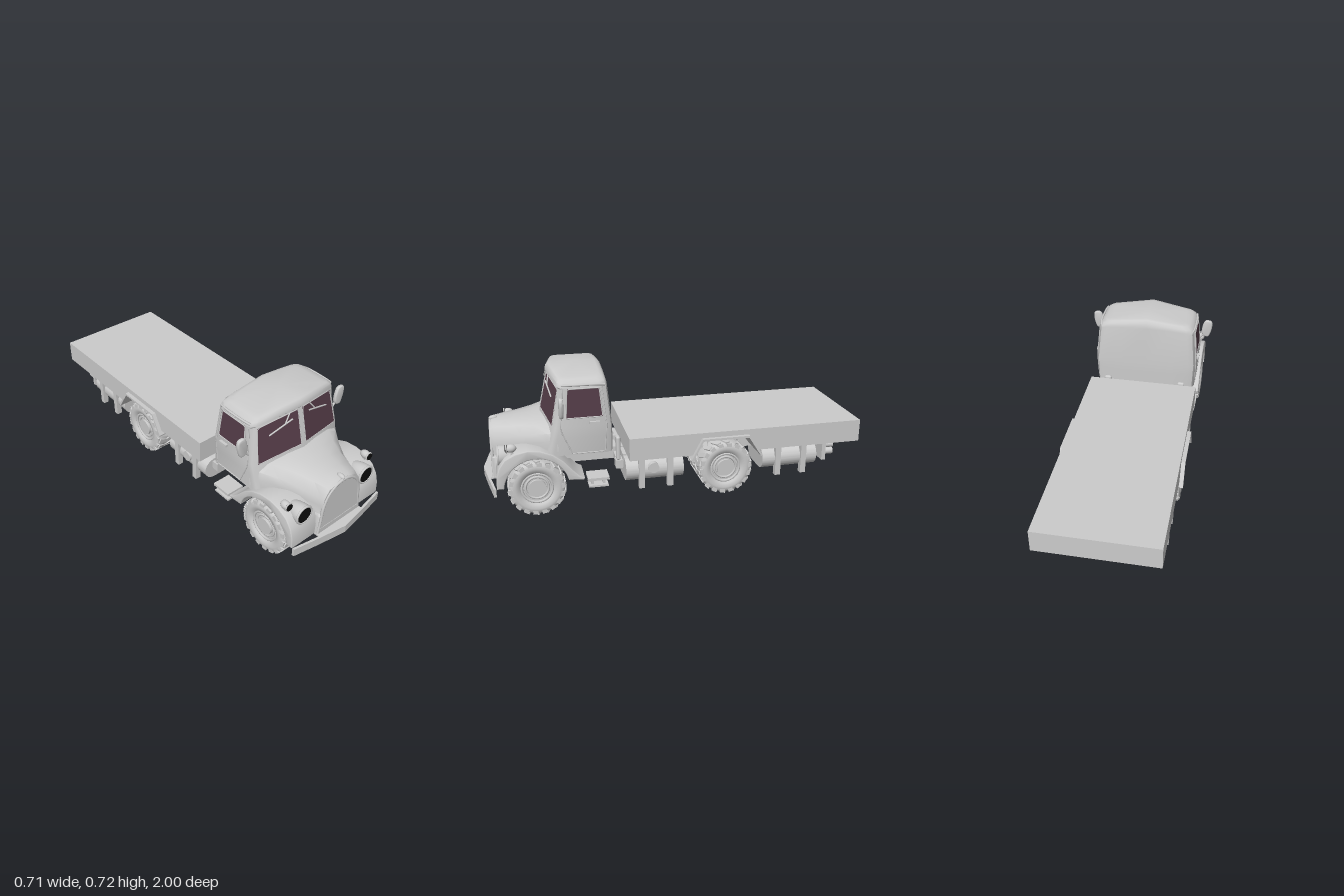
import * as THREE from 'three';
import { mergeGeometries, toCreasedNormals } from 'three/addons/utils/BufferGeometryUtils.js';
import { RoundedBoxGeometry } from 'three/addons/geometries/RoundedBoxGeometry.js';

const V = (x, y, z) => new THREE.Vector3(x, y, z);
const grey = new THREE.MeshStandardMaterial({ color: 0xcccccc, side: THREE.DoubleSide });
const glass = new THREE.MeshStandardMaterial({ color: 0x543c48, side: THREE.DoubleSide });
const black = new THREE.MeshStandardMaterial({ color: 0x0c0c0c });

// Skin between closed rings of equal length, with fan caps on both ends
function loft(rings) {
  const n = rings[0].length, pos = [], idx = [];
  rings.forEach(r => r.forEach(p => pos.push(p.x, p.y, p.z)));
  for (let i = 0; i < rings.length - 1; i++) for (let j = 0; j < n; j++) {
    const a = i * n + j, b = i * n + (j + 1) % n;
    idx.push(a, b, b + n, a, b + n, a + n);
  }
  [rings[0], rings[rings.length - 1]].forEach((r, k) => {
    const c = r.reduce((s, p) => s.add(p), V(0, 0, 0)).divideScalar(n);
    if (k) c.y = Math.max(...r.map(p => p.y));
    const ci = pos.length / 3, o = k * (rings.length - 1) * n;
    pos.push(c.x, c.y, c.z);
    for (let j = 0; j < n; j++) {
      const a = o + j, b = o + (j + 1) % n;
      k ? idx.push(a, b, ci) : idx.push(b, a, ci);
    }
  });
  const g = new THREE.BufferGeometry();
  g.setAttribute('position', new THREE.Float32BufferAttribute(pos, 3));
  g.setIndex(idx);
  return toCreasedNormals(g, 0.8);
}

// Side profile of [z, y] points extruded from x0 to x1
const shapeOf = pts => new THREE.Shape(pts.map(p => new THREE.Vector2(...p)));
function prism(pts, x0, x1, bevel = 0) {
  const g = new THREE.ExtrudeGeometry(shapeOf(pts), { depth: x1 - x0 - 2 * bevel, bevelEnabled: bevel > 0,
    bevelSize: bevel, bevelThickness: bevel, bevelOffset: -bevel, bevelSegments: 3 });
  return toCreasedNormals(g.rotateY(-Math.PI / 2).translate(x1 - bevel, 0, 0), 0.7);
}
// Plan outline of [x, z] points raised from y by h
const slab = (pts, y, h) => new THREE.ExtrudeGeometry(shapeOf(pts.map(([x, z]) => [x, -z])),
  { depth: h, bevelEnabled: false }).rotateX(-Math.PI / 2).translate(0, y, 0);

function tube(pts, r, curved = true) {
  const c = new THREE.CurvePath();
  pts.slice(1).forEach((p, i) => c.add(new THREE.LineCurve3(pts[i], p)));
  return new THREE.TubeGeometry(curved ? new THREE.CatmullRomCurve3(pts) : c, pts.length * 8, r, 8);
}
const box = (w, h, d, x, y, z) => new THREE.BoxGeometry(w, h, d).translate(x, y, z);
const cylX = (r, len, x, y, z, n = 24) => new THREE.CylinderGeometry(r, r, len, n).rotateZ(Math.PI / 2).translate(x, y, z);
const cylZ = (r, len, x, y, z, n = 32) => new THREE.CylinderGeometry(r, r, len, n).rotateX(Math.PI / 2).translate(x, y, z);

// Cab surface rules: raked V front, sides leaning inward above the waist
const frontZ = (x, y) => 0.69 - 0.18 * Math.abs(x) - 0.23 * (y - 0.46);
const sideX = y => y < 0.46 ? 0.285 + (y - 0.31) / 30 : 0.29 - (y - 0.46) * 0.09;

function cabRing(y, w, crown, rearInset, inset) {
  const rear = 0.34 + Math.max(0, y - 0.45) * 0.09 + rearInset;
  const half = [[w * 0.5, rear], [w - 0.04, rear + 0.003], [w - 0.012, rear + 0.012], [w, rear + 0.04],
    [w, frontZ(w, y) - 0.03 - inset], [w - 0.005, frontZ(w, y) - 0.01 - inset],
    [w - 0.02, frontZ(w - 0.02, y) - inset], [w * 0.5, frontZ(w * 0.5, y) - inset]];
  const at = ([x, z]) => V(x, y + crown * (1 - Math.abs(x) / w), z - (z > 0.5 ? 0.23 * crown * (1 - Math.abs(x) / w) : 0));
  return [at([0, frontZ(0, y) - inset]), ...half.slice().reverse().map(at), at([0, rear]),
    ...half.map(([x, z]) => at([-x, z]))];
}

// Hood cross-section, widening towards the cab
function hoodRing(z, w, sh, top) {
  const half = [[0.15, 0.17], [0.14, 0.27], [w, sh - 0.05], [w, sh], [w * 0.96, sh + 0.04], [w * 0.75, top - 0.02], [w * 0.35, top - 0.005]];
  return [...half.map(p => V(p[0], p[1], z)), V(0, top, z), ...half.reverse().map(p => V(-p[0], p[1], z))];
}

// Tyre with chevron cleats, rim and hub; axle along x
function wheel(side) {
  const g = new THREE.Group();
  const add = (geo, name) => { const m = new THREE.Mesh(geo, grey); m.name = name; g.add(m); };
  const prof = [[0.078, -0.04], [0.09, -0.054], [0.11, -0.059], [0.128, -0.056], [0.138, -0.046], [0.141, -0.025],
    [0.141, 0.025], [0.138, 0.046], [0.128, 0.056], [0.11, 0.059], [0.09, 0.054], [0.078, 0.04]];
  add(new THREE.LatheGeometry(prof.map(p => new THREE.Vector2(...p)), 40).rotateZ(Math.PI / 2), 'tyre');
  const cleats = [];
  for (let i = 0; i < 18; i++) for (const s of [-1, 1]) {
    cleats.push(new THREE.BoxGeometry(0.014, 0.054, 0.025).rotateX(-s * 0.42)
      .translate(0.139, s * 0.023, 0).rotateY(i * Math.PI / 9));
    cleats.push(new THREE.BoxGeometry(0.026, 0.01, 0.026)
      .translate(0.127, s * 0.052, -0.016).rotateY(i * Math.PI / 9));
  }
  add(mergeGeometries(cleats).rotateZ(Math.PI / 2), 'tread');
  add(cylX(0.082, 0.075, 0, 0, 0, 32), 'rim');
  add(new THREE.TorusGeometry(0.077, 0.007, 8, 32).rotateY(Math.PI / 2).translate(side * 0.042, 0, 0), 'rimEdge');
  add(new THREE.TorusGeometry(0.058, 0.006, 8, 32).rotateY(Math.PI / 2).translate(side * 0.038, 0, 0), 'rimRing');
  add(cylX(0.045, 0.1, 0, 0, 0), 'hub');
  return g;
}

export function createModel() {
  const root = new THREE.Group();
  const add = (name, geo, mat = grey) => {
    const m = new THREE.Mesh(geo, mat); m.name = name; root.add(m);
  };
  const addWheel = (name, side, x, y, z) => {
    const w = wheel(side); w.name = name; w.position.set(side * x, y, z); root.add(w);
  };

  // Cab with overhanging roof brow, and hood
  add('cab', loft([[0.31, 0.285, 0, 0, 0], [0.4, 0.288, 0, 0, 0], [0.46, 0.29, 0, 0, 0], [0.648, 0.273, 0.024, 0, 0],
    [0.656, 0.2725, 0.025, 0, -0.01], [0.676, 0.262, 0.028, 0.004, -0.012], [0.69, 0.242, 0.027, 0.014, -0.002],
    [0.697, 0.21, 0.024, 0.03, 0.02]].map(a => cabRing(...a))));
  add('hood', loft([[0.62, 0.288, 0.385, 0.472], [0.67, 0.263, 0.38, 0.466], [0.73, 0.218, 0.365, 0.458], [0.8, 0.178, 0.35, 0.452],
    [0.87, 0.153, 0.338, 0.446], [0.93, 0.13, 0.33, 0.44], [0.945, 0.124, 0.33, 0.432]].map(a => hoodRing(...a))));
  add('cabFloor', box(0.36, 0.07, 0.3, 0, 0.285, 0.5));
  add('enginePan', box(0.28, 0.03, 0.4, 0, 0.18, 0.75));

  // Grille with arched surround
  const arch = [[0.142, 0.17], [0.13, 0.24], [0.12, 0.32], [0.095, 0.38], [0.05, 0.417], [0, 0.428]];
  const outline = [...arch, ...arch.slice(0, -1).reverse().map(([x, y]) => [-x, y])];
  add('grille', new THREE.ExtrudeGeometry(shapeOf(outline), { depth: 0.01, bevelEnabled: false }).translate(0, 0, 0.938));
  add('grilleSurround', tube(outline.map(([x, y]) => V(x, y, 0.944)), 0.008));
  add('hoodOrnament', new THREE.SphereGeometry(0.013, 16, 12).scale(1, 1.1, 1.8).translate(0, 0.438, 0.928));

  // V-shaped front bumper and the apron joining it to the body
  add('bumper', slab([[0.3, 0.947], [0.16, 0.972], [0, 0.997], [-0.16, 0.972], [-0.3, 0.947],
    [-0.3, 0.935], [-0.16, 0.96], [0, 0.985], [0.16, 0.96], [0.3, 0.935]], 0.124, 0.044));
  add('bumperApron', slab([[0.15, 0.9], [0.15, 0.963], [0, 0.988], [-0.15, 0.963], [-0.15, 0.9]], 0.16, 0.008));

  // Load bed with wheel notches, and the chassis under it
  add('loadBed', prism([[0.265, 0.375], [-1, 0.375], [-1, 0.255], [-0.42, 0.255], [-0.365, 0.335],
    [-0.125, 0.335], [-0.075, 0.255], [0.265, 0.255]], -0.305, 0.305));
  add('cabCrossmember', box(0.48, 0.035, 0.03, 0, 0.215, 0.303));
  add('bedCrossmember', box(0.38, 0.05, 0.02, 0, 0.225, 0.272));
  add('frontAxle', cylX(0.016, 0.4, 0, 0.147, 0.735));
  add('rearAxle', cylX(0.022, 0.4, 0, 0.163, -0.25));
  add('differential', new THREE.SphereGeometry(0.036, 20, 14).translate(0, 0.165, -0.25));
  add('tailBarCentre', box(0.22, 0.045, 0.022, 0, 0.215, -0.82));

  for (const s of [-1, 1]) {
    const side = s > 0 ? 'left' : 'right';
    const part = (name, geo, mat) => add(side + name, geo, mat);
    const span = (pts, a, b, bevel) => prism(pts, s > 0 ? a : -b, s > 0 ? b : -a, bevel);

    // Wheels
    addWheel(side + 'FrontWheel', s, 0.241, 0.147, 0.735);
    addWheel(side + 'RearOuterWheel', s, 0.243, 0.163, -0.25);
    addWheel(side + 'RearInnerWheel', s, 0.113, 0.163, -0.25);

    // Front mudguard with round wheel arch
    const lip = [];
    for (let i = 0; i <= 14; i++) {
      const a = Math.PI * (0.93 - i / 14 * 0.9);
      lip.push([0.735 + 0.163 * Math.cos(a), 0.147 + 0.163 * Math.sin(a)]);
    }
    part('FrontMudguard', span([[0.905, 0.165], [0.932, 0.165], [0.93, 0.225], [0.916, 0.275], [0.885, 0.318], [0.835, 0.345],
      [0.775, 0.356], [0.71, 0.35], [0.65, 0.325], [0.6, 0.287], [0.555, 0.235], [0.52, 0.198], [0.495, 0.185], [0.5, 0.175], ...lip], 0.13, 0.303, 0.005));

    // Lamps
    part('HeadlampPod', new THREE.SphereGeometry(0.05, 28, 18, 0, Math.PI * 2, 0, Math.PI / 2).rotateX(-Math.PI / 2)
      .scale(1, 1, 2.1).translate(s * 0.215, 0.313, 0.912));
    part('HeadlampRim', new THREE.TorusGeometry(0.046, 0.006, 10, 36).translate(s * 0.215, 0.313, 0.914));
    part('HeadlampLens', cylZ(0.044, 0.01, s * 0.215, 0.313, 0.912), black);
    part('SideLampPod', new THREE.SphereGeometry(0.021, 20, 14).scale(1, 1, 1.3).translate(s * 0.277, 0.37, 0.85));
    part('SideLampRim', new THREE.TorusGeometry(0.019, 0.004, 8, 24).translate(s * 0.277, 0.37, 0.872));
    part('SideLampLens', cylZ(0.018, 0.012, s * 0.277, 0.37, 0.873), black);
    part('SideLampStalk', box(0.012, 0.03, 0.015, s * 0.277, 0.345, 0.845));

    // Windscreen pane and wiper
    const pane = (pts) => {
      const g = new THREE.BufferGeometry().setFromPoints(pts);
      g.setIndex(s > 0 ? [0, 1, 2, 0, 2, 3] : [0, 2, 1, 0, 3, 2]);
      g.computeVertexNormals();
      return g;
    };
    const onScreen = (x, y, out) => V(s * x, y, frontZ(x, y) + out);
    const screen = [[0.015, 0.485], [0.262, 0.463], [0.241, 0.643], [0.015, 0.668]].map(p => onScreen(...p, 0.003));
    part('Windscreen', pane(screen), glass);
    part('WindscreenFrame', tube([...screen, screen[0]], 0.002, false));
    part('WiperArm', tube([onScreen(0.065, 0.668, 0.008), onScreen(0.1, 0.625, 0.014)], 0.0035));
    part('WiperBlade', tube([onScreen(0.055, 0.636, 0.012), onScreen(0.19, 0.595, 0.012)], 0.004));

    // Door seams, window, handle and drip rail
    const onSide = (z, y, out) => V(s * (sideX(y) + out), y, z);
    const win = [[0.575, 0.505], [0.393, 0.505], [0.405, 0.65], [0.563, 0.65]].map(p => onSide(...p, 0.003));
    part('DoorWindow', pane(win), glass);
    part('DoorWindowFrame', tube([...win, win[0]], 0.003, false));
    const seam = [[0.585, 0.655], [0.605, 0.46], [0.598, 0.43], [0.55, 0.317], [0.385, 0.317], [0.375, 0.46], [0.392, 0.655]];
    part('DoorSeam', tube(seam.map(p => onSide(...p, 0)), 0.003, false));
    part('DoorHandle', box(0.014, 0.012, 0.05, s * 0.295, 0.477, 0.435));
    part('DripRail', tube([V(s * 0.26, 0.66, 0.375), V(s * 0.27, 0.666, 0.42), V(s * 0.27, 0.668, 0.56),
      V(s * 0.266, 0.668, 0.59)], 0.006));

    // Mirror: rounded plate narrowing to the bottom
    part('MirrorArm', tube([V(s * 0.275, 0.5, 0.6), V(s * 0.3, 0.525, 0.598), V(s * 0.325, 0.555, 0.598)], 0.006));
    const rim = new THREE.CatmullRomCurve3([[0.357, 0.6], [0.35, 0.621], [0.318, 0.624], [0.304, 0.603], [0.297, 0.545],
      [0.31, 0.524], [0.335, 0.522], [0.346, 0.54]].map(([x, y]) => V(s * x, y, 0)), true);
    part('Mirror', toCreasedNormals(new THREE.ExtrudeGeometry(shapeOf(rim.getPoints(32).map(p => [p.x, p.y])),
      { depth: 0.006, bevelSize: 0.01, bevelOffset: -0.01, bevelThickness: 0.008, bevelSegments: 4 }).translate(0, 0, 0.597), 0.8));

    // Cab step with feet, and the mounts behind the cab
    part('Step', box(0.1, 0.014, 0.11, s * 0.25, 0.17, 0.425));
    part('StepTread', box(0.07, 0.01, 0.1, s * 0.26, 0.13, 0.425));
    for (const z of [0.395, 0.455]) part('StepFoot', box(0.05, 0.055, 0.014, s * 0.25, 0.143, z));
    part('CabMount', box(0.05, 0.045, 0.036, s * 0.215, 0.215, 0.308));
    part('CabMountPlate', new RoundedBoxGeometry(0.04, 0.13, 0.022, 3, 0.01).translate(s * 0.215, 0.3, 0.31));

    // Frame rail and bent rear wheel guard
    part('FrameRail', box(0.03, 0.065, 1.7, s * 0.08, 0.225, 0.05));
    part('RearWheelGuard', span([[-0.062, 0.225], [-0.055, 0.235], [-0.115, 0.347], [-0.37, 0.347], [-0.442, 0.235],
      [-0.435, 0.225], [-0.365, 0.336], [-0.12, 0.336]], 0.04, 0.326));

    // Broad round-sided tanks under the bed, hung on outer straps
    for (const [z0, z1, straps] of [[0.28, -0.025, [0.2, 0.05]], [-0.46, -0.77, [-0.545, -0.69]]]) {
      const tank = new THREE.Shape();
      tank.absarc(s > 0 ? 0.222 : -0.105, 0.18, 0.06, -Math.PI / 2, Math.PI / 2);
      tank.absarc(s > 0 ? 0.105 : -0.222, 0.18, 0.06, Math.PI / 2, Math.PI * 1.5);
      part('Tank', toCreasedNormals(new THREE.ExtrudeGeometry(tank,
        { depth: z0 - z1, bevelEnabled: false, curveSegments: 16 }).translate(0, 0, z1), 0.6));
      for (const z of straps) part('TankStrap', box(0.03, 0.16, 0.03, s * 0.278, 0.172, z));
    }
    part('FillerCap', cylX(0.028, 0.03, s * 0.278, 0.2, 0.137));

    // Tail bar end with paired lamps
    part('TailBarEnd', box(0.1, 0.11, 0.022, s * 0.215, 0.197, -0.82));
    part('TailBarArm', new THREE.BoxGeometry(0.08, 0.045, 0.022).rotateZ(-s * 0.25).translate(s * 0.14, 0.207, -0.82));
    part('TailBarMount', box(0.03, 0.03, 0.09, s * 0.2, 0.24, -0.8));
    for (const y of [0.185, 0.225]) {
      part('TailLamp', cylZ(0.019, 0.05, s * 0.24, y, -0.852, 20));
      part('TailLampLens', cylZ(0.015, 0.006, s * 0.24, y, -0.877, 20), black);
    }
  }
  return root;
}
